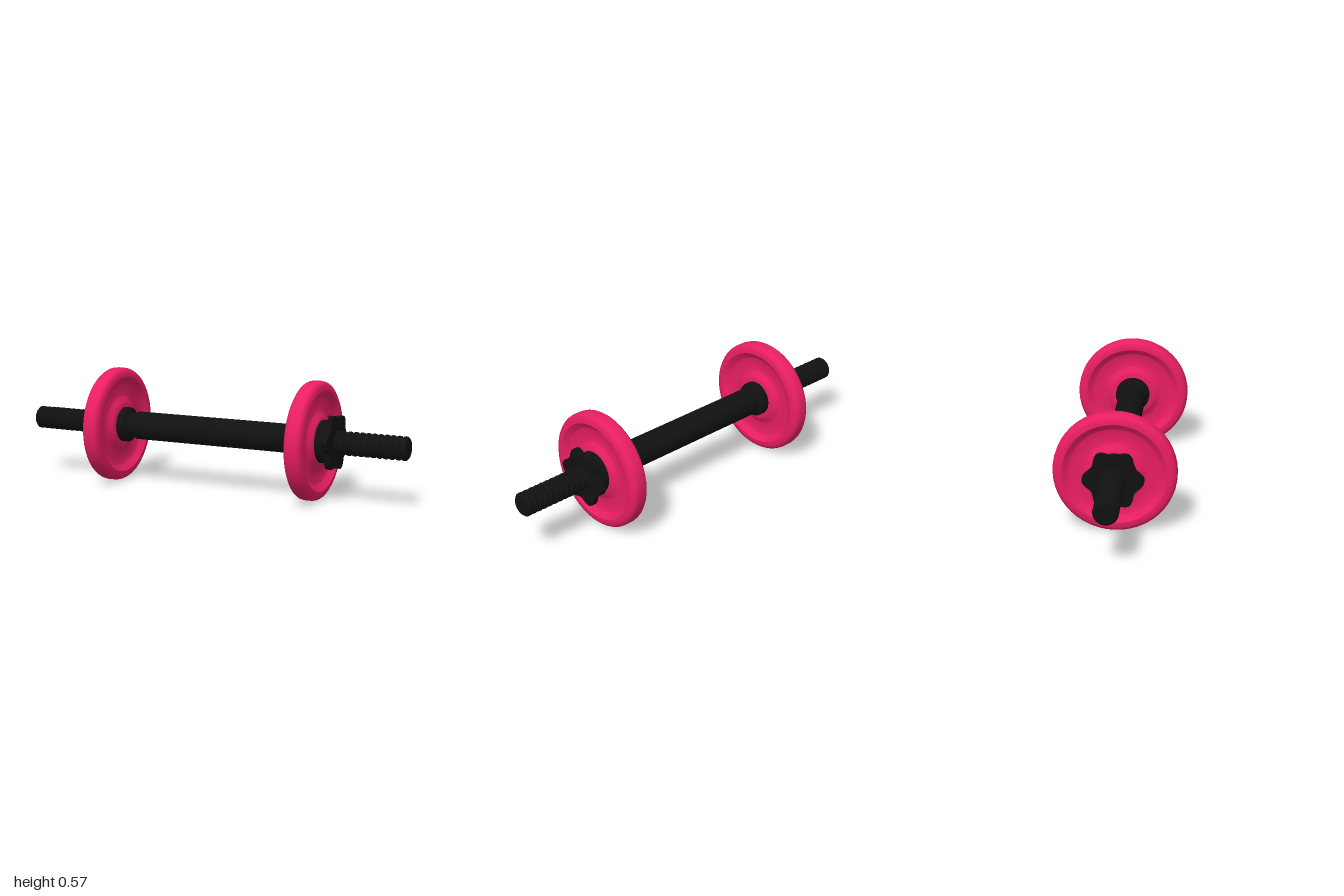
import * as THREE from 'three';
import { toCreasedNormals } from 'three/addons/utils/BufferGeometryUtils.js';

const AXIS_Y = 0.283;
const pink = new THREE.MeshStandardMaterial({ color: 0xe91e63 });
const black = new THREE.MeshStandardMaterial({ color: 0x111111 });

// Turned part along +x; profile is [radius, x] with x rising around the outside
function turned(name, profile, material, segments = 48) {
  const points = profile.map(([r, x]) => new THREE.Vector2(r, x));
  const geometry = new THREE.LatheGeometry(points, segments).rotateZ(-Math.PI / 2);
  const mesh = new THREE.Mesh(toCreasedNormals(geometry, 0.5), material);
  mesh.name = name;
  return mesh;
}

// Weight plate: rounded rim, sunken web and raised hub on both faces
function makePlate() {
  const face = [
    [0.05, 0.041], [0.108, 0.041], [0.116, 0.038], [0.138, 0.021], [0.145, 0.019],
    [0.207, 0.019], [0.213, 0.022], [0.236, 0.043], [0.239, 0.045],
    [0.252, 0.044], [0.265, 0.041], [0.275, 0.035], [0.281, 0.026], [0.283, 0.015],
  ];
  const back = face.map(([r, x]) => [r, -x]);
  const plate = turned('weightPlate', [...back, ...face.reverse()], pink, 48);
  plate.position.x = 0.535;
  return plate;
}

// Threaded bar end with ring-shaped ridges
function makeThread() {
  const profile = [[0.049, 0.42]];
  const start = 0.58, pitch = 0.03, count = 14;
  for (let i = 0; i < count; i++) {
    const x = start + i * pitch;
    profile.push([0.049, x], [0.056, x + 0.007], [0.057, x + 0.014], [0.056, x + 0.021], [0.049, x + 0.028]);
  }
  profile.push([0.047, 1], [0, 1]);
  return turned('threadedEnd', profile, black, 32);
}

// Star-shaped flange of the spin-lock nut
function makeStar(phase) {
  const outline = [];
  for (let i = 0; i < 96; i++) {
    const a = (i / 96) * Math.PI * 2;
    const r = 0.126 + 0.014 * Math.cos(6 * (a - phase));
    outline.push(new THREE.Vector2(r * Math.cos(a), r * Math.sin(a)));
  }
  const shape = new THREE.Shape(outline);
  const hole = new THREE.Path();
  hole.absarc(0, 0, 0.05, 0, Math.PI * 2, true);
  shape.holes.push(hole);
  const geometry = new THREE.ExtrudeGeometry(shape, { depth: 0.026, bevelEnabled: false, curveSegments: 16 });
  geometry.rotateY(Math.PI / 2);
  const star = new THREE.Mesh(toCreasedNormals(geometry, 0.6), black);
  star.name = 'nutStar';
  star.position.x = 0.627;
  return star;
}

// Everything on one end of the bar, built towards +x
function makeEnd(name, starPhase) {
  const end = new THREE.Group();
  end.name = name;
  end.add(
    makeThread(),
    turned('innerCollar', [[0.058, 0.41], [0.058, 0.447], [0.066, 0.452], [0.086, 0.466], [0.087, 0.496], [0.05, 0.496]], black),
    makePlate(),
    turned('nutHub', [[0.05, 0.573], [0.102, 0.573], [0.102, 0.628], [0.05, 0.628]], black),
    makeStar(starPhase),
  );
  return end;
}

export function createModel() {
  const model = new THREE.Group();
  model.name = 'dumbbell';

  // Central grip
  const grip = turned('grip', [[0, -0.417], [0.066, -0.417], [0.069, -0.412], [0.069, 0.412], [0.066, 0.417], [0, 0.417]], black, 32);

  const left = makeEnd('leftEnd', -0.13);
  const right = makeEnd('rightEnd', 0);
  right.rotation.y = Math.PI;

  model.add(grip, left, right);
  for (const part of model.children) part.position.y = AXIS_Y;
  return model;
}
